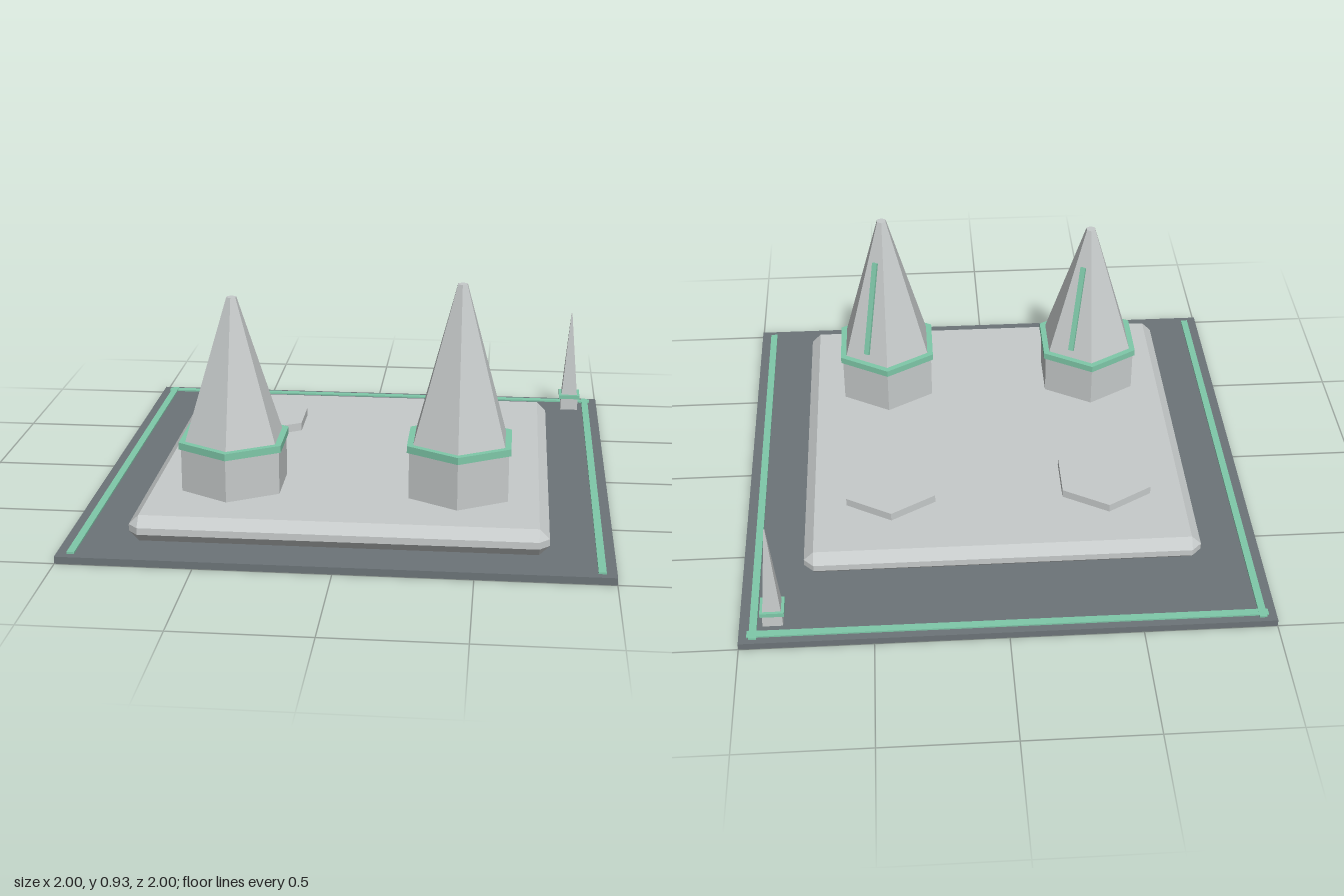
import * as THREE from 'three';
import { ConvexGeometry } from 'three/addons/geometries/ConvexGeometry.js';

const material = (name, color) => {
  const m = new THREE.MeshStandardMaterial({ color });
  m.name = name;
  return m;
};

export function createModel() {
  const model = new THREE.Group();
  model.name = 'spirePlaza';
  const slate = material('slate grey', 0x6c7478);
  const stone = material('pale stone', 0xc6caca);
  const mint = material('mint trim', 0x7fc8a9);

  const add = (parent, name, geometry, mat, x = 0, y = 0, z = 0) => {
    const mesh = new THREE.Mesh(geometry, mat);
    mesh.name = name;
    mesh.position.set(x, y, z);
    parent.add(mesh);
    return mesh;
  };
  // faceted prism or spire standing between heights y0 and y1
  const prism = (rTop, rBottom, y0, y1, sides) => {
    const g = new THREE.CylinderGeometry(rTop, rBottom, y1 - y0, sides).toNonIndexed();
    if (sides === 4) g.rotateY(Math.PI / 4);
    g.translate(0, (y0 + y1) / 2, 0);
    g.computeVertexNormals();
    return g;
  };
  // box with every edge and corner cut off flat
  const chamferedBox = (w, h, d, c) => {
    const points = [];
    for (const sx of [-1, 1]) for (const sy of [-1, 1]) for (const sz of [-1, 1]) {
      for (let axis = 0; axis < 3; axis++) {
        const half = [w / 2, h / 2, d / 2].map((v, i) => (i === axis ? v : v - c));
        points.push(new THREE.Vector3(sx * half[0], sy * half[1], sz * half[2]));
      }
    }
    return new ConvexGeometry(points);
  };

  // ground slab with trim along three edges
  add(model, 'groundSlab', new THREE.BoxGeometry(2, 0.027, 2), slate, 0, 0.0135, 0);
  for (const side of [-1, 1]) {
    add(model, side > 0 ? 'leftEdgeTrim' : 'rightEdgeTrim',
      new THREE.BoxGeometry(0.028, 0.008, 1.95), mint, side * 0.948, 0.03, -0.005);
  }
  add(model, 'backEdgeTrim', new THREE.BoxGeometry(1.94, 0.007, 0.03), mint, 0, 0.03, -0.955);

  // raised platform
  add(model, 'platform', chamferedBox(1.53, 0.1, 1.526, 0.037), stone, 0, 0.077, 0.098);

  // low hexagonal pads at the back
  for (const x of [-0.427, 0.427]) {
    add(model, 'hexagonalPad', prism(0.202, 0.202, 0.12, 0.16, 6), stone, x, 0, -0.26);
  }

  // hexagonal towers: shaft, trim band, spire and a light strip on one rear face
  const towers = [
    { name: 'rightTower', x: -0.43, eaves: 0.32, top: 0.86 },
    { name: 'leftTower', x: 0.427, eaves: 0.335, top: 0.93 },
  ];
  for (const { name, x, eaves, top } of towers) {
    const tower = new THREE.Group();
    tower.name = name;
    tower.position.set(x, 0, 0.46);
    model.add(tower);
    add(tower, 'shaft', prism(0.214, 0.214, 0.12, eaves - 0.01, 6), stone);
    add(tower, 'trimBand', prism(0.223, 0.223, eaves - 0.027, eaves, 6), mint);
    add(tower, 'spire', prism(0.02, 0.198, eaves - 0.005, top, 6), stone);

    const rise = top - eaves;
    const run = (0.198 - 0.02) * Math.cos(Math.PI / 6);
    const strip = add(tower, 'lightStrip', new THREE.BoxGeometry(0.022, rise * 0.68, 0.016), mint);
    const middle = 0.39;
    const reach = 0.198 * Math.cos(Math.PI / 6) - run * middle + 0.002;
    strip.rotation.set(-Math.atan2(run, rise), Math.PI * 5 / 6, 0, 'YXZ');
    strip.position.set(reach * 0.5, eaves + rise * middle, -reach * 0.866);
  }

  // small square pylon in the back corner
  const pylon = new THREE.Group();
  pylon.name = 'cornerPylon';
  pylon.position.set(0.875, 0, -0.875);
  model.add(pylon);
  add(pylon, 'pylonBase', prism(0.052, 0.054, 0.02, 0.085, 4), stone);
  add(pylon, 'pylonBand', prism(0.064, 0.064, 0.079, 0.096, 4), mint);
  add(pylon, 'pylonSpire', prism(0.003, 0.049, 0.09, 0.467, 4), stone);

  return model;
}
